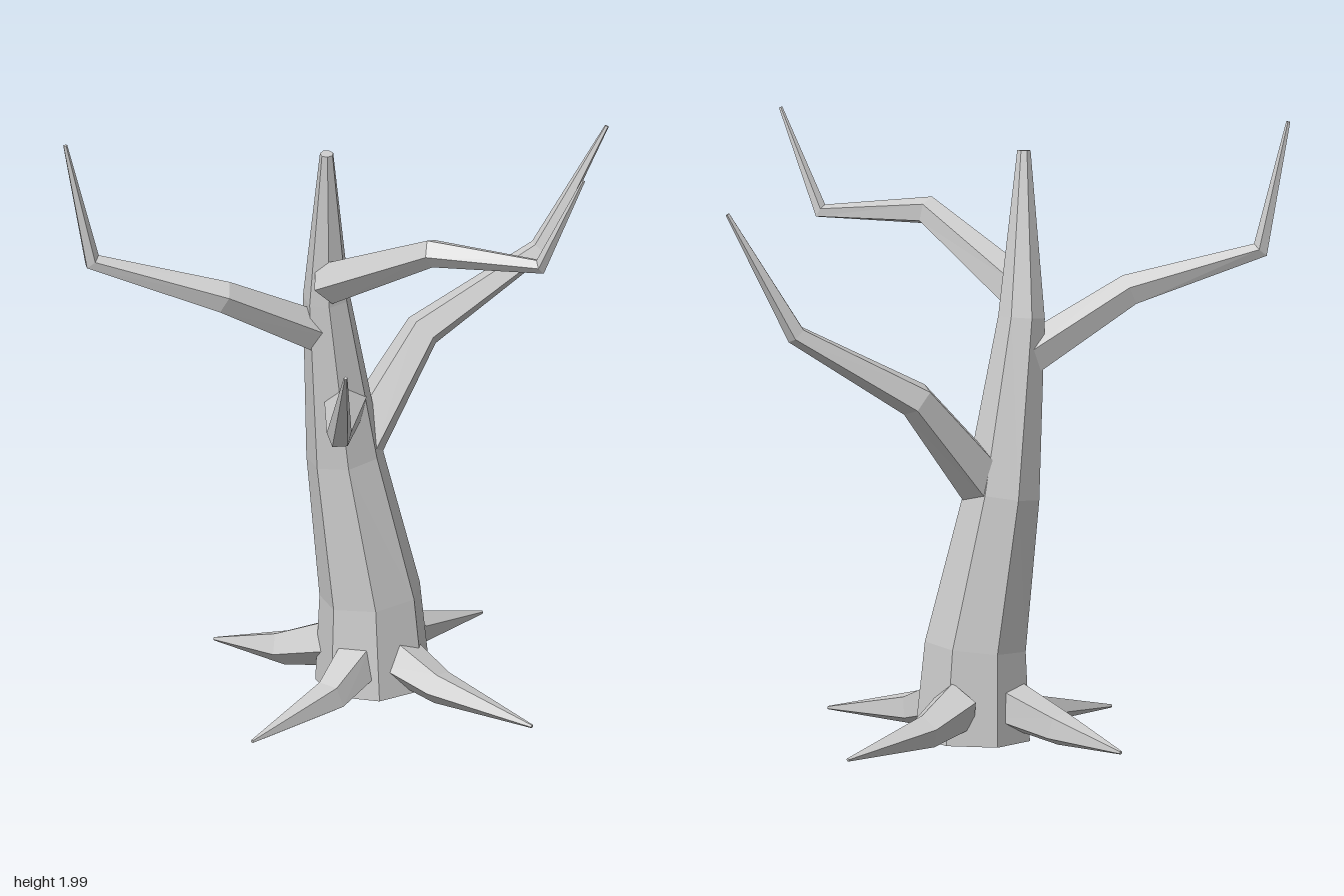
import * as THREE from 'three';

const material = new THREE.MeshStandardMaterial({ color: 0xcccccc, flatShading: true });

// Faceted tapering limb through knots [x, y, z, radius], capped at both ends.
function limb(name, knots, sides, phase) {
  const pts = knots.map(k => new THREE.Vector3(k[0], k[1], k[2]));
  const dirs = pts.slice(1).map((p, i) => p.clone().sub(pts[i]).normalize());
  const frame = new THREE.Quaternion();
  let last = new THREE.Vector3(0, 1, 0);

  // rings square to the path, carried along it without twisting
  const rings = pts.map((p, i) => {
    const before = dirs[Math.max(i - 1, 0)];
    const after = dirs[Math.min(i, dirs.length - 1)];
    const tangent = before.clone().add(after).normalize();
    frame.premultiply(new THREE.Quaternion().setFromUnitVectors(last, tangent));
    last = tangent;
    return Array.from({ length: sides }, (_, s) => {
      const a = phase + (s / sides) * Math.PI * 2;
      return new THREE.Vector3(Math.cos(a), 0, Math.sin(a))
        .multiplyScalar(knots[i][3]).applyQuaternion(frame).add(p);
    });
  });

  const tris = [];
  const end = pts.length - 1;
  for (let s = 0; s < sides; s++) {
    const n = (s + 1) % sides;
    for (let i = 0; i < end; i++) {
      const a = rings[i], b = rings[i + 1];
      tris.push(a[s], b[s], b[n], a[s], b[n], a[n]);
    }
    tris.push(pts[0], rings[0][s], rings[0][n]);
    tris.push(pts[end], rings[end][n], rings[end][s]);
  }
  const geometry = new THREE.BufferGeometry().setFromPoints(tris);
  geometry.computeVertexNormals();
  const mesh = new THREE.Mesh(geometry, material);
  mesh.name = name;
  return mesh;
}

export function createModel() {
  const tree = new THREE.Group();
  tree.name = 'bareTree';

  // Leaning seven-sided trunk
  tree.add(limb('trunk', [
    [0.06, 0.018, -0.13, 0.19],
    [0.055, 0.32, -0.14, 0.167],
    [-0.02, 0.81, -0.18, 0.125],
    [-0.1, 1.38, -0.17, 0.077],
    [-0.147, 1.91, -0.107, 0.022],
  ], 7, 0.325));

  // Crooked branches, each ending in a thin upturned tip
  const branches = {
    leftHighBranch: [
      [0.9, 1.78, 0.0, 0.007], [0.69, 1.38, -0.08, 0.035],
      [0.31, 1.15, -0.2, 0.063], [0.03, 0.84, -0.17, 0.09],
    ],
    rightHighBranch: [
      [-0.9, 1.995, -0.505, 0.007], [-0.815, 1.58, -0.475, 0.03],
      [-0.46, 1.445, -0.245, 0.054], [-0.09, 1.24, -0.185, 0.07],
    ],
    frontHighBranch: [
      [0.288, 1.97, 0.687, 0.006], [0.22, 1.645, 0.55, 0.026],
      [-0.02, 1.665, 0.285, 0.048], [-0.125, 1.45, -0.13, 0.072],
    ],
    frontLowBranch: [
      [-0.49, 1.4, 0.45, 0.006], [-0.365, 1.1, 0.25, 0.042],
      [-0.06, 1.01, -0.12, 0.072],
    ],
  };
  for (const [name, knots] of Object.entries(branches)) {
    tree.add(limb(name, knots.reverse(), 5, 0.3));
  }

  // Roots: start inside the trunk, bend at the ground, taper to a point
  const roots = [
    [[-0.03, 0.135, -0.08], [-0.21, 0.065, -0.01], [-0.58, 0.03, 0.07]],
    [[0.17, 0.14, -0.22], [0.33, 0.08, -0.28], [0.66, 0.03, -0.35]],
    [[0.07, 0.135, -0.04], [0.11, 0.075, 0.15], [0.215, 0.03, 0.51]],
    [[0.0, 0.14, -0.23], [-0.09, 0.075, -0.42], [-0.16, 0.03, -0.69]],
  ];
  const rootRadii = [0.085, 0.058, 0.006];
  roots.forEach((path, r) => {
    const knots = path.map((p, i) => [...p, rootRadii[i]]);
    tree.add(limb('root' + (r + 1), knots, 5, 0.3));
  });

  return tree;
}
